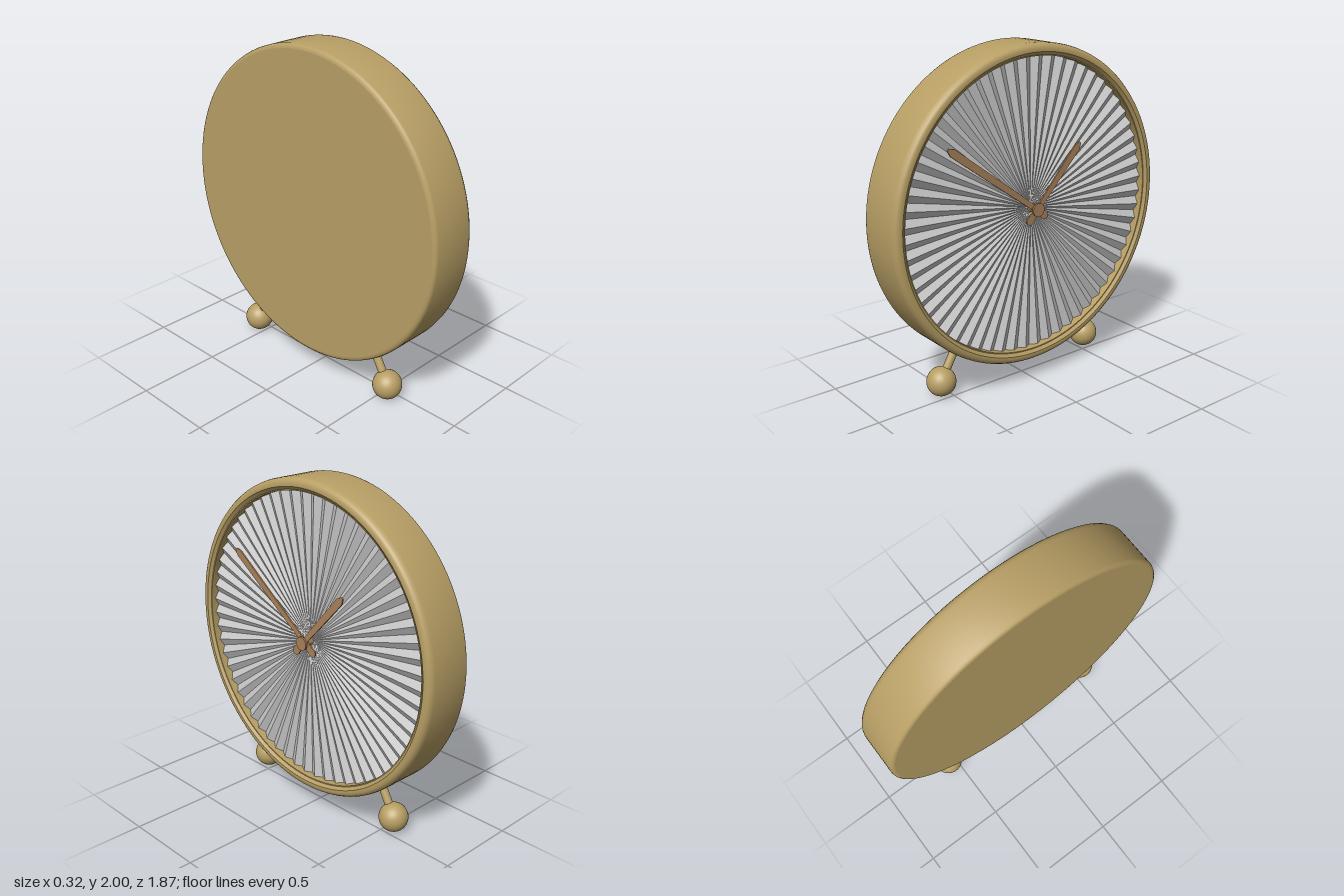
import * as THREE from 'three';
import { toCreasedNormals } from 'three/addons/utils/BufferGeometryUtils.js';

const brass = new THREE.MeshStandardMaterial({ color: 0xb89f65 });
const copper = new THREE.MeshStandardMaterial({ color: 0xa9825a });
const grey = new THREE.MeshStandardMaterial({ color: 0xcccccc, flatShading: true, side: THREE.DoubleSide });

const CENTRE_Y = 1.066;

function add(parent, name, geometry, material) {
  const mesh = new THREE.Mesh(geometry, material);
  mesh.name = name;
  parent.add(mesh);
  return mesh;
}

// Disc of radial folds: alternate spokes are raised and lowered
function pleatedDisc(radius, folds, base, depth) {
  const n = folds * 2;
  const positions = [];
  const rim = (i) => {
    const a = (i / n) * Math.PI * 2;
    return [radius * Math.cos(a), radius * Math.sin(a), base + (i % 2 ? depth : -depth)];
  };
  for (let i = 0; i < n; i++) positions.push(0, 0, base, ...rim(i), ...rim((i + 1) % n));
  const g = new THREE.BufferGeometry();
  g.setAttribute('position', new THREE.Float32BufferAttribute(positions, 3));
  g.computeVertexNormals();
  return g;
}

// Hand pointing along +y: rounded tail, widening blade, pointed tip
function handGeometry(length) {
  const s = new THREE.Shape();
  s.moveTo(0.016, 0);
  s.lineTo(0.023, length - 0.035);
  s.lineTo(0.008, length);
  s.lineTo(-0.008, length);
  s.lineTo(-0.023, length - 0.035);
  s.lineTo(-0.016, 0);
  s.lineTo(-0.026, -0.075);
  s.absarc(0, -0.078, 0.026, Math.PI, Math.PI * 2, false);
  s.closePath();
  return new THREE.ExtrudeGeometry(s, { depth: 0.009, bevelEnabled: false, curveSegments: 10 });
}

export function createModel() {
  const model = new THREE.Group();
  model.name = 'tableClock';

  // Clock built facing +z, then turned to face +x
  const clock = new THREE.Group();
  clock.name = 'clock';
  clock.position.y = CENTRE_Y;
  clock.rotation.y = Math.PI / 2;
  model.add(clock);

  // Round case with softened edges and a recessed lip
  const profile = [
    [0.908, -0.165], [0.92, -0.163], [0.93, -0.155], [0.934, -0.142],
    [0.934, 0.1], [0.931, 0.117], [0.922, 0.131], [0.91, 0.138], [0.898, 0.14],
    [0.886, 0.14], [0.868, 0.125], [0.862, 0.125], [0.862, 0.05],
  ].map(([r, h]) => new THREE.Vector2(r, h));
  const caseGeometry = new THREE.LatheGeometry(profile, 128).rotateX(Math.PI / 2);
  add(clock, 'case', toCreasedNormals(caseGeometry, 0.6), brass);

  const back = add(clock, 'backPlate', new THREE.CircleGeometry(0.908, 128), brass);
  back.rotation.y = Math.PI;
  back.position.z = -0.165;

  add(clock, 'pleatedFace', pleatedDisc(0.864, 60, 0.085, 0.013), grey);

  // Hands: direction of each tip from the centre
  const hands = [
    ['minuteHand', -0.59, 0.43, 0.125],
    ['hourHand', 0.314, 0.345, 0.14],
  ];
  for (const [name, x, y, z] of hands) {
    const hand = add(clock, name, handGeometry(Math.hypot(x, y)), copper);
    hand.rotation.z = Math.atan2(-x, y);
    hand.position.z = z;
  }

  const hub = add(clock, 'hub', new THREE.CylinderGeometry(0.04, 0.04, 0.012, 32), copper);
  hub.rotation.x = Math.PI / 2;
  hub.position.z = 0.154;
  const spindle = add(clock, 'spindle', new THREE.CylinderGeometry(0.025, 0.025, 0.08, 24), copper);
  spindle.rotation.x = Math.PI / 2;
  spindle.position.z = 0.115;

  // Two radial legs ending in ball feet
  for (const side of [-1, 1]) {
    const leg = new THREE.Group();
    leg.name = side > 0 ? 'frontLeg' : 'backLeg';
    leg.position.set(-0.053, CENTRE_Y, 0);
    leg.rotation.x = -side * Math.atan2(0.55, CENTRE_Y - 0.087);
    model.add(leg);
    const reach = Math.hypot(0.55, CENTRE_Y - 0.087);
    add(leg, 'rod', new THREE.CylinderGeometry(0.025, 0.025, 0.21, 24), brass).position.y = -reach + 0.12;
    add(leg, 'ballFoot', new THREE.SphereGeometry(0.087, 32, 24), brass).position.y = -reach;
  }
  return model;
}
